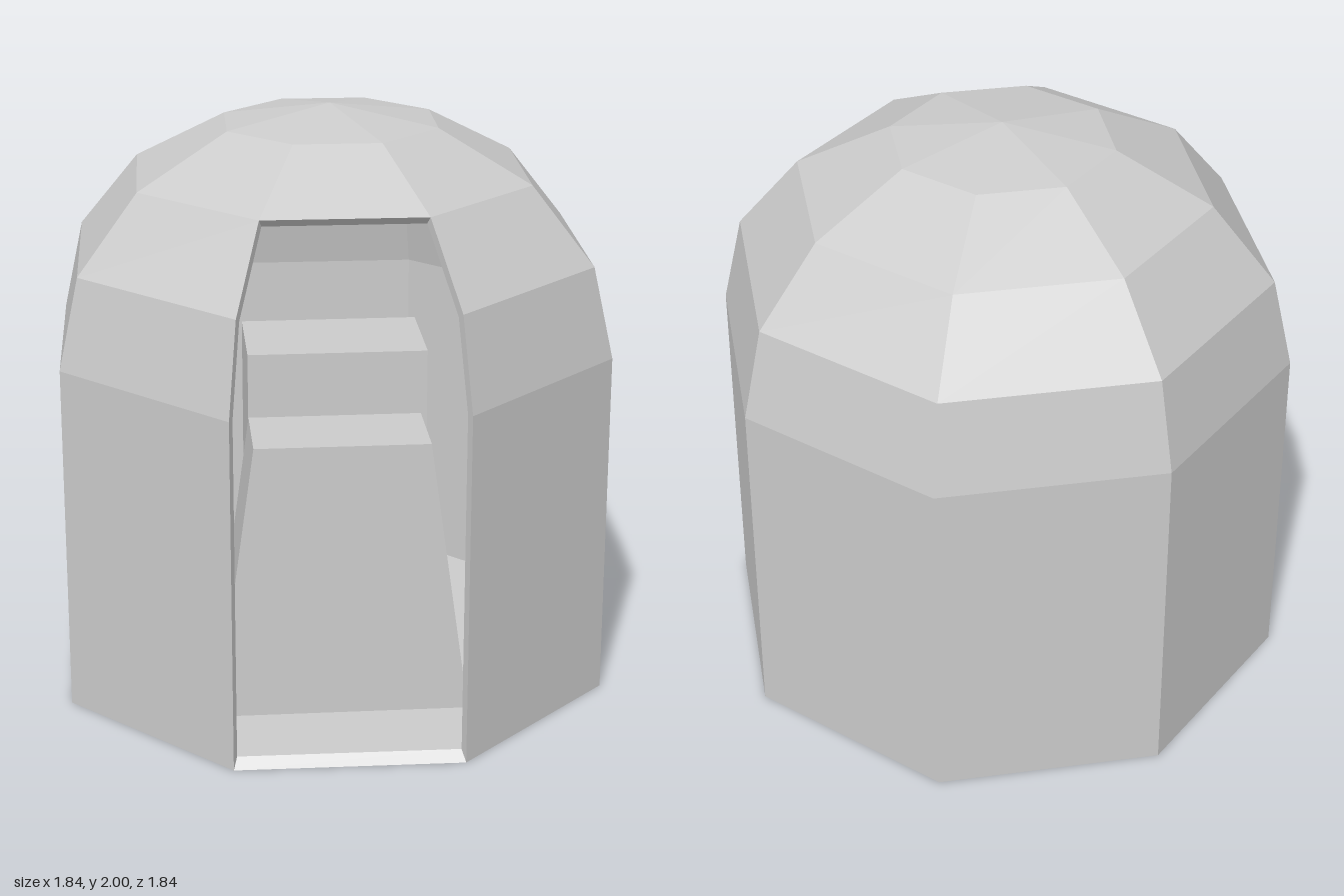
import * as THREE from 'three';

const SIDES = 8;
const OPEN_ROWS = 3; // rows of the front panel left open as the doorway

// [distance to panel, height] from the ground to the crown
const OUTER = [[0.916, 0], [0.916, 1.2], [0.85, 1.51], [0.65, 1.77], [0.35, 1.94], [0, 2]];
const INNER = [[0.887, 0.035], [0.887, 1.195], [0.823, 1.495], [0.63, 1.745], [0.34, 1.91], [0, 1.97]];

// Corner of a profile row; side 0 faces the front
function corner([apothem, y], side) {
  const a = (side - 0.5) * 2 * Math.PI / SIDES;
  const r = apothem / Math.cos(Math.PI / SIDES);
  return [r * Math.sin(a), y, r * Math.cos(a)];
}

function facetGeometry(quads) {
  const pos = [];
  for (const [a, b, c, d] of quads) pos.push(...a, ...b, ...c, ...a, ...c, ...d);
  const g = new THREE.BufferGeometry();
  g.setAttribute('position', new THREE.Float32BufferAttribute(pos, 3));
  g.computeVertexNormals();
  return g;
}

// Eight-sided skin with the doorway left out, plus its base
function skin(profile, inward) {
  const quads = [];
  for (let row = 0; row < profile.length - 1; row++) {
    for (let s = 0; s < SIDES; s++) {
      if (s === 0 && row < OPEN_ROWS) continue;
      const [lo, hi] = [profile[row], profile[row + 1]];
      quads.push([corner(lo, s), corner(lo, s + 1), corner(hi, s + 1), corner(hi, s)]);
    }
  }
  const y = profile[0][1];
  for (let s = 0; s < SIDES; s++) {
    quads.push([[0, y, 0], corner(profile[0], s + 1), corner(profile[0], s), [0, y, 0]]);
  }
  return facetGeometry(inward ? quads.map(q => q.reverse()) : quads);
}

// Bevelled rim joining both skins around the doorway
function rim() {
  const loop = profile => {
    const rows = profile.slice(0, OPEN_ROWS + 1);
    return [...rows.map(p => corner(p, 1)), ...rows.reverse().map(p => corner(p, 0))];
  };
  const o = loop(OUTER), i = loop(INNER);
  return facetGeometry(o.map((p, k) => {
    const n = (k + 1) % o.length;
    return [p, o[n], i[n], i[k]];
  }));
}

export function createModel() {
  const model = new THREE.Group();
  const material = new THREE.MeshStandardMaterial({ color: 0xcccccc, flatShading: true });
  const add = (name, geometry, parent = model) => {
    const mesh = new THREE.Mesh(geometry, material);
    mesh.name = name;
    parent.add(mesh);
    return mesh;
  };

  // Domed hut, turned very slightly
  const hut = new THREE.Group();
  hut.name = 'hut';
  hut.rotation.y = -0.01;
  model.add(hut);
  add('outerShell', skin(OUTER, false), hut);
  add('innerShell', skin(INNER, true), hut);
  add('doorwayRim', rim(), hut);

  // Tapered counter just inside the doorway
  const taper = new THREE.Shape([[-0.43, 0.035], [0.42, 0.035], [0.285, 0.99], [-0.298, 0.99]]
    .map(([x, y]) => new THREE.Vector2(x, y)));
  const counter = new THREE.ExtrudeGeometry(taper, { depth: 0.305, bevelEnabled: false });
  add('counter', counter).position.z = 0.285;

  // Taller cabinet behind the counter
  add('cabinet', new THREE.BoxGeometry(0.635, 1.05, 0.4)).position.set(0.037, 0.56, -0.3);

  return model;
}
